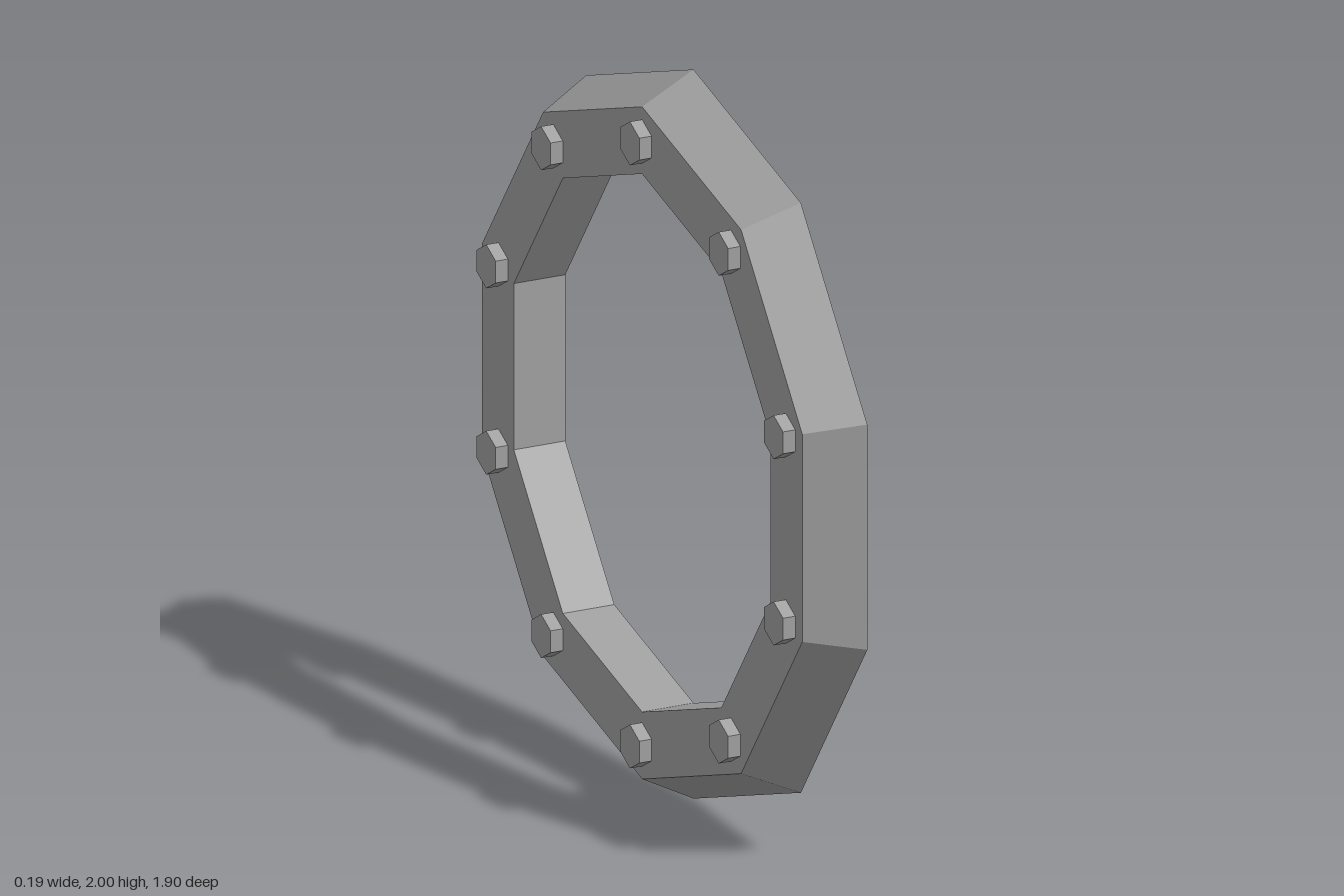
import * as THREE from 'three';

const SIDES = 10;
const FRONT_X = 0.092;   // open rim of the channel
const PLATE_X = -0.06;   // flat plate carrying the bolts
const BOLT_X = -0.096;   // outer face of the bolt heads
const BOLT_CIRCLE = 0.827;
const COLOR = 0x9e9e9e;

export function createModel() {
  const model = new THREE.Group();
  model.name = 'boltedRing';

  // Open channel: inner wall, flat plate, flared outer wall
  const profile = [
    [0.738, FRONT_X],
    [0.738, PLATE_X],
    [0.922, PLATE_X],
    [1, FRONT_X],
  ].map(([r, y]) => new THREE.Vector2(r, y));
  const ringGeometry = new THREE.LatheGeometry(profile, SIDES, Math.PI / 2)
    .rotateZ(-Math.PI / 2)
    .toNonIndexed();
  ringGeometry.computeVertexNormals();
  const ring = new THREE.Mesh(ringGeometry, new THREE.MeshStandardMaterial({
    color: COLOR, flatShading: true, side: THREE.DoubleSide,
  }));
  ring.name = 'channelRing';
  ring.position.y = 1;
  model.add(ring);

  // Hexagonal bolt heads, one at each corner of the plate
  const bolts = new THREE.Group();
  bolts.name = 'bolts';
  const boltGeometry = new THREE.CylinderGeometry(
    0.06, 0.06, PLATE_X - BOLT_X, 6, 1, false, Math.PI / 2,
  ).rotateZ(-Math.PI / 2);
  const boltMaterial = new THREE.MeshStandardMaterial({ color: COLOR, flatShading: true });
  for (let i = 0; i < SIDES; i++) {
    const angle = (i / SIDES) * Math.PI * 2;
    const bolt = new THREE.Mesh(boltGeometry, boltMaterial);
    bolt.name = 'boltHead';
    bolt.position.set(
      (PLATE_X + BOLT_X) / 2,
      1 + BOLT_CIRCLE * Math.cos(angle),
      BOLT_CIRCLE * Math.sin(angle),
    );
    bolts.add(bolt);
  }
  model.add(bolts);

  return model;
}
